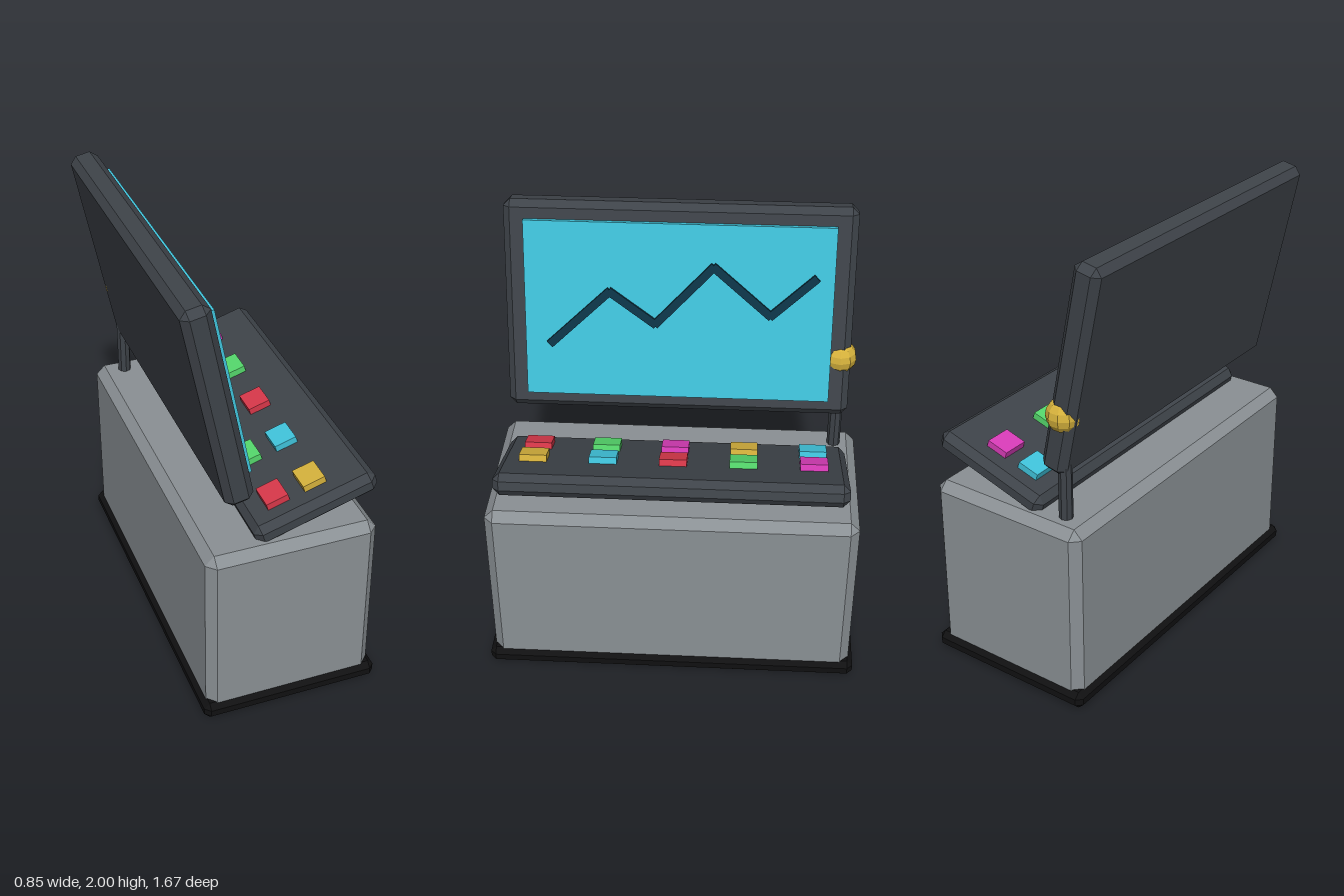
import * as THREE from 'three';
import { ConvexGeometry } from 'three/addons/geometries/ConvexGeometry.js';

function mat(name, color) {
  const m = new THREE.MeshStandardMaterial({ color, flatShading: true });
  m.name = name;
  return m;
}

// Box with every edge cut at 45 degrees by c
function chamferBox(w, h, d, c) {
  const pts = [];
  for (const sx of [-1, 1]) for (const sy of [-1, 1]) for (const sz of [-1, 1]) {
    const [x, y, z] = [w / 2, h / 2, d / 2];
    pts.push(new THREE.Vector3(sx * x, sy * (y - c), sz * (z - c)));
    pts.push(new THREE.Vector3(sx * (x - c), sy * y, sz * (z - c)));
    pts.push(new THREE.Vector3(sx * (x - c), sy * (y - c), sz * z));
  }
  return new ConvexGeometry(pts);
}

function add(parent, name, geometry, material, x = 0, y = 0, z = 0) {
  const mesh = new THREE.Mesh(geometry, material);
  mesh.name = name;
  mesh.position.set(x, y, z);
  parent.add(mesh);
  return mesh;
}

export function createModel() {
  const grey = mat('cabinet grey', 0x8a9094);
  const dark = mat('dark casing', 0x3e4349);
  const black = mat('black plinth', 0x101011);
  const cyan = mat('cyan', 0x40c4dc);
  const navy = mat('chart navy', 0x0c3547);
  const gold = mat('gold', 0xd6b23c);
  const magenta = mat('magenta', 0xd83cb8);
  const green = mat('green', 0x55d86c);
  const red = mat('red', 0xd8384a);

  const model = new THREE.Group();
  model.name = 'controlConsole';

  // Cabinet on its plinth
  add(model, 'plinth', chamferBox(0.8, 0.08, 1.67, 0.025), black, 0.025, 0.04, 0);
  add(model, 'cabinet', chamferBox(0.76, 0.85, 1.63, 0.04), grey, 0.025, 0.435, 0);

  // Sloping control deck with two columns of keys
  const deck = new THREE.Group();
  deck.name = 'controlDeck';
  deck.position.set(0.1475, 0.949, 0);
  deck.rotation.z = 0.3;
  model.add(deck);
  add(deck, 'deckSlab', chamferBox(0.56, 0.1, 1.52, 0.03), dark);
  const key = new THREE.BoxGeometry(0.1, 0.04, 0.12);
  const columns = [
    [-0.13, [cyan, gold, magenta, green, red]],
    [0.04, [magenta, green, red, cyan, gold]],
  ];
  for (const [x, colours] of columns) {
    colours.forEach((m, i) => add(deck, 'key', key, m, x, 0.06, (i - 2) * 0.305));
  }

  // Leaning monitor with display panel
  const monitor = new THREE.Group();
  monitor.name = 'monitor';
  monitor.position.set(-0.28, 1.53, 0);
  monitor.rotation.z = 0.2;
  model.add(monitor);
  add(monitor, 'monitorCasing', chamferBox(0.125, 0.946, 1.52, 0.03), dark);
  add(monitor, 'displayPanel', new THREE.BoxGeometry(0.04, 0.79, 1.34), cyan, 0.068, 0, 0);

  // Zigzag chart line: points as [z, y] on the panel
  const chart = [[0.56, -0.155], [0.3, 0.09], [0.1, -0.053], [-0.15, 0.212], [-0.4, -0.002], [-0.59, 0.172]];
  for (let i = 0; i + 1 < chart.length; i++) {
    const [z0, y0] = chart[i], [z1, y1] = chart[i + 1];
    const length = Math.hypot(z1 - z0, y1 - y0) + 0.012;
    const bar = add(monitor, 'chartLine', new THREE.BoxGeometry(0.02, 0.036, length), navy,
      0.092, (y0 + y1) / 2, (z0 + z1) / 2);
    bar.rotation.x = -Math.atan2(y1 - y0, z1 - z0);
  }

  // Lever with ball knob at the rear corner
  add(model, 'leverRod', new THREE.CylinderGeometry(0.03, 0.03, 0.5, 8), dark, -0.23, 1.09, -0.715);
  add(model, 'leverKnob', new THREE.SphereGeometry(0.075, 10, 8), gold, -0.23, 1.33, -0.715);

  return model;
}
